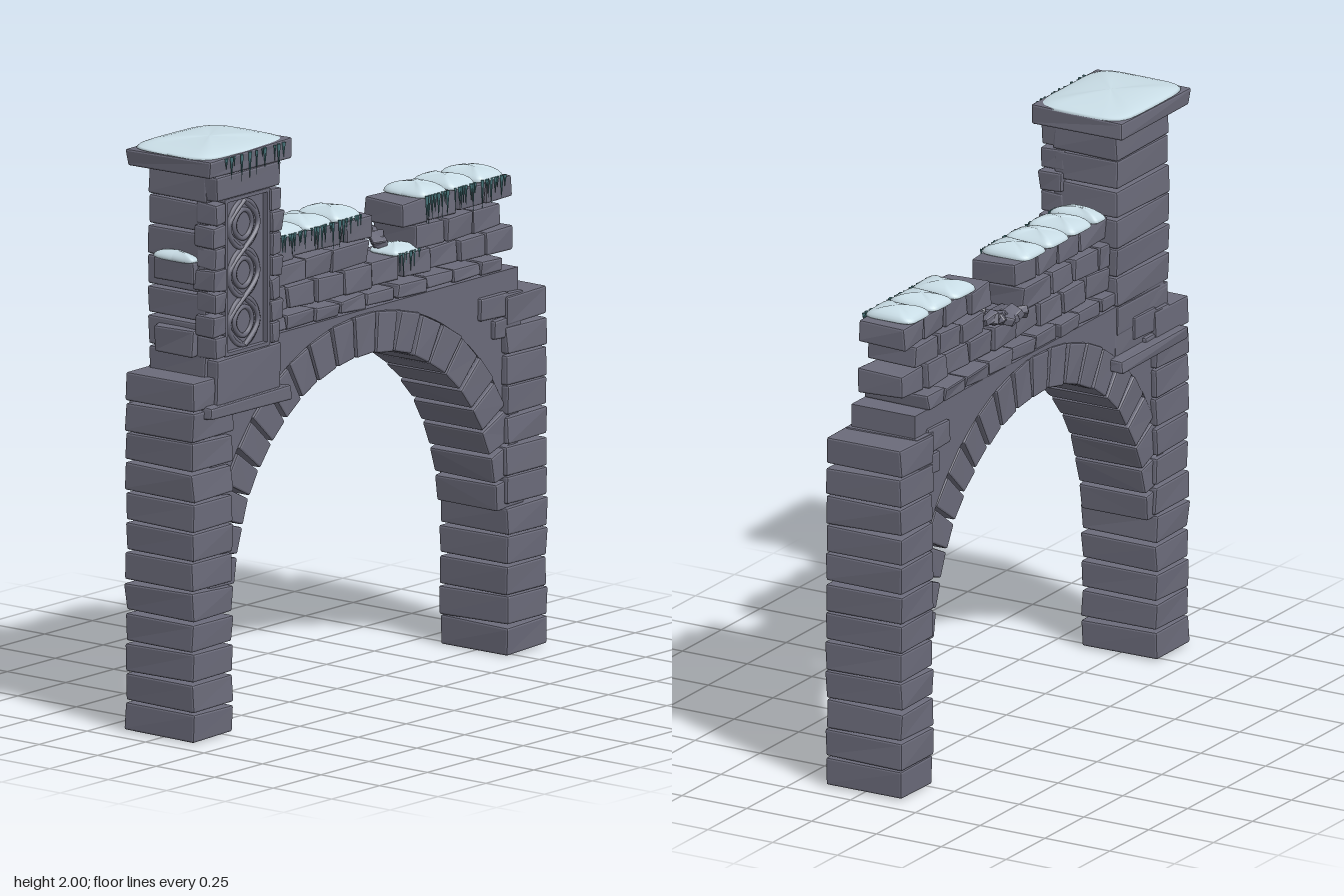
import * as THREE from 'three';
import { RoundedBoxGeometry } from 'three/addons/geometries/RoundedBoxGeometry.js';

export function createModel() {
  const stone = new THREE.MeshStandardMaterial({ color: 0x6b6b7a });
  const snow = new THREE.MeshStandardMaterial({ color: 0xc9dde6 });
  const ice = new THREE.MeshStandardMaterial({ color: 0x4a7a80 });
  const model = new THREE.Group();
  model.name = 'ruinedArch';

  let seed = 7;
  const rand = () => (seed = (seed * 16807) % 2147483647) / 2147483647;
  const spread = (a) => (rand() * 2 - 1) * a;

  const part = (name) => {
    const g = new THREE.Group();
    g.name = name;
    model.add(g);
    return g;
  };
  const add = (group, name, geo, mat) => {
    const m = new THREE.Mesh(geo, mat);
    m.name = name;
    group.add(m);
    return m;
  };

  // Hewn block: chamfered box whose eight corners are nudged
  function hewn(w, h, d, j = 0.004, taper = 0) {
    const g = new RoundedBoxGeometry(w, h, d, 1, Math.min(0.007, Math.min(w, h, d) * 0.2));
    const nudge = Array.from({ length: 8 }, () => [spread(j), spread(j), spread(j)]);
    const p = g.attributes.position;
    for (let i = 0; i < p.count; i++) {
      const x = p.getX(i), y = p.getY(i), z = p.getZ(i);
      const n = nudge[(x > 0 ? 1 : 0) + (y > 0 ? 2 : 0) + (z > 0 ? 4 : 0)];
      p.setXYZ(i, x * (1 + taper * y) + n[0], y + n[1], z + n[2]);
    }
    g.computeVertexNormals();
    return g;
  }
  // Block given by its limits on each axis
  function block(group, name, x0, x1, y0, y1, z0, z1, j) {
    const m = add(group, name, hewn(x1 - x0, y1 - y0, z1 - z0, j), stone);
    m.position.set((x0 + x1) / 2, (y0 + y1) / 2, (z0 + z1) / 2);
    return m;
  }

  // Pillars of stacked blocks
  for (const s of [-1, 1]) {
    const pillar = part(s < 0 ? 'rightPillar' : 'leftPillar');
    for (let i = 0; i < 12; i++) {
      const y = i * 0.102;
      block(pillar, 'pillarBlock', s * 0.82 - 0.104, s * 0.82 + 0.104, y + 0.003, y + 0.098, -0.15, 0.142, 0.004);
    }
    // shoulder stones keyed into the wall on both faces
    const shoulder = part('shoulderStones');
    const stones = [[0.59, 0.73, 1.155, 1.235], [0.66, 0.8, 1.08, 1.15], [0.7, 0.81, 1.17, 1.23]];
    for (const [a, b, y0, y1] of stones)
      block(shoulder, 'shoulderStone', s > 0 ? a : -b, s > 0 ? b : -a, y0, y1, -0.142, 0.134);
  }

  // Arch ring of tapered stones
  const CY = 0.47, RI = 0.68, RO = 0.82, N = 21, RM = (RI + RO) / 2;
  const ring = part('archRing');
  for (let i = 0; i < N; i++) {
    const step = (Math.PI - 0.06) / N, a = 0.03 + (i + 0.5) * step;
    const m = add(ring, 'archStone', hewn(RM * step - 0.012, RO - RI, 0.26, 0.003, 1 / RM), stone);
    m.position.set(RM * Math.cos(a), CY + RM * Math.sin(a), -0.005);
    m.rotation.z = a - Math.PI / 2;
  }

  // Flat wall above the arch
  const wall = new THREE.Shape();
  const edge = Math.acos(0.8 / RO);
  wall.moveTo(0.8, CY + RO * Math.sin(edge));
  wall.lineTo(0.8, 1.305);
  wall.lineTo(-0.8, 1.305);
  wall.lineTo(-0.8, CY + RO * Math.sin(edge));
  wall.absarc(0, CY, RO, Math.PI - edge, edge, true);
  const wallGeo = new THREE.ExtrudeGeometry(wall, { depth: 0.245, bevelEnabled: false, curveSegments: 40 });
  add(model, 'spandrelWall', wallGeo.translate(0, 0, -0.128), stone);

  // Broken brick courses: y limits, z limits, joints
  const courses = [
    [1.307, 1.354, -0.13, 0.11, [-0.5, -0.4, -0.25, -0.12, 0.02, 0.17, 0.33, 0.48, 0.62, 0.73]],
    [1.36, 1.44, -0.095, 0.078, [-0.5, -0.35, -0.2, -0.06, 0.09, 0.24, 0.39, 0.54, 0.67, 0.82]],
    [1.448, 1.525, -0.1, 0.085, [-0.5, -0.42, -0.27, -0.13, 0.06]],
    [1.448, 1.525, -0.1, 0.085, [0.31, 0.46, 0.6, 0.75]],
    [1.532, 1.61, -0.09, 0.08, [-0.5, -0.33, -0.19, -0.06, 0.09]],
    [1.532, 1.61, -0.09, 0.08, [0.25, 0.39, 0.54, 0.68, 0.82]],
  ];
  const parapet = part('parapet');
  for (const [y0, y1, z0, z1, joints] of courses)
    for (let i = 0; i + 1 < joints.length; i++)
      block(parapet, 'brick', joints[i] + 0.004, joints[i + 1] - 0.004, y0, y1, z0 + spread(0.008), z1 + spread(0.008), 0.005);

  // Rubble in the breach
  const rubble = part('rubble');
  for (let i = 0; i < 12; i++) {
    const m = add(rubble, 'rubbleStone', hewn(0.04 + rand() * 0.035, 0.03, 0.035 + rand() * 0.03, 0.006), stone);
    const t = i / 11;
    m.position.set(0.07 + t * 0.22, 1.453 + t * t * 0.04 + spread(0.008), -0.06 + spread(0.05));
    m.rotation.set(spread(0.4), spread(1.2), spread(0.5));
  }

  // Tower courses
  const tower = part('tower');
  for (let i = 0; i < 7; i++) {
    const y = 1.2 + i * 0.102;
    block(tower, 'towerBlock', -0.825, -0.492, y + 0.002, y + 0.099, -0.132, 0.115, 0.004);
  }
  block(tower, 'towerBase', -0.815, -0.48, 1.12, 1.285, -0.13, 0.155);
  block(tower, 'frontLedge', -0.87, -0.445, 1.09, 1.135, 0.1, 0.172);
  block(tower, 'backLedge', -0.87, -0.445, 1.09, 1.135, -0.178, -0.1);
  block(tower, 'panelHeader', -0.825, -0.49, 1.82, 1.91, 0.08, 0.162);
  block(tower, 'capSlab', -0.878, -0.438, 1.908, 1.972, -0.18, 0.172, 0.006);
  // quoins on either side of the panel, alternately wider
  for (let i = 0; i < 7; i++) {
    const y = 1.29 + i * 0.0755, wide = i % 2 ? 0.012 : 0;
    block(tower, 'quoin', -0.828 - wide, -0.775, y, y + 0.072, 0.075, 0.162);
    block(tower, 'quoin', -0.535, -0.488 + wide, y, y + 0.072, 0.075, 0.162);
  }
  // stubs of the lost wall on the outer side
  block(tower, 'wallStub', -0.85, -0.8, 1.29, 1.38, -0.09, 0.08);
  block(tower, 'wallStub', -0.852, -0.8, 1.535, 1.61, -0.09, 0.08);

  // Carved panel: frame and interlaced strands
  const panel = part('carvedPanel');
  block(panel, 'panelBack', -0.775, -0.535, 1.285, 1.82, 0.1, 0.132, 0);
  for (const x of [-0.768, -0.548]) block(panel, 'panelFrame', x, x + 0.014, 1.29, 1.818, 0.12, 0.152, 0);
  for (const y of [1.286, 1.808]) block(panel, 'panelFrame', -0.77, -0.535, y, y + 0.013, 0.12, 0.152, 0);
  const strand = (point, closed) => {
    const pts = Array.from({ length: 37 }, (_, i) => point(i / 36));
    if (closed) pts.pop();
    add(panel, 'carvedStrand', new THREE.TubeGeometry(new THREE.CatmullRomCurve3(pts, closed), 60, 0.009, 6, closed), stone);
  };
  for (const s of [-1, 1])
    strand((t) => new THREE.Vector3(-0.655 + s * 0.076 * Math.sin(t * Math.PI * 3), 1.305 + t * 0.495, 0.136 + s * 0.004 * Math.cos(t * Math.PI * 3)), false);
  for (let k = 0; k < 3; k++) {
    const cy = 1.3875 + k * 0.165;
    for (const r of [0.046, 0.076])
      strand((t) => {
        const a = t * Math.PI * 2;
        return new THREE.Vector3(-0.655 + r * Math.cos(a), cy + r * 1.05 * Math.sin(a) * (0.75 + 0.25 * Math.abs(Math.sin(a))), 0.134);
      }, true);
  }

  // Snow pillow: squared-off dome with a wavering rim
  function drift(name, x0, x1, y, h, z0, z1) {
    const g = new THREE.SphereGeometry(1, 32, 12);
    const p = g.attributes.position;
    const ph = rand() * 6;
    const sq = (v, e) => Math.sign(v) * Math.pow(Math.abs(v), e);
    for (let i = 0; i < p.count; i++) {
      const x = p.getX(i), yy = p.getY(i), z = p.getZ(i);
      const r = Math.hypot(x, z), a = Math.atan2(z, x);
      const rr = Math.min(r, 1);
      const dip = 0.25 * rr * Math.sin(a * 3 + ph) * (1 - rr * 0.5);
      p.setXYZ(i,
        rr * sq(Math.cos(a), 0.4) * (x1 - x0) / 2,
        yy > 0 ? h * yy * (0.85 + dip) : yy * 0.012,
        rr * sq(Math.sin(a), 0.4) * (z1 - z0) / 2);
    }
    g.computeVertexNormals();
    add(snows, name, g, snow).position.set((x0 + x1) / 2, y, (z0 + z1) / 2);
  }
  const snows = part('snow');
  const icicles = part('icicles');
  // Icy rim with hanging icicles along a front edge
  function hang(x0, x1, y, z, count, maxLen) {
    for (let i = 0; i < count; i++) {
      const len = maxLen * (0.3 + 0.7 * rand());
      const g = new THREE.ConeGeometry(0.004 + rand() * 0.003, len, 5).rotateX(Math.PI);
      add(icicles, 'icicle', g, ice).position.set(x0 + (i + 0.5 + spread(0.35)) * (x1 - x0) / count, y - len / 2, z + spread(0.004));
    }
  }
  drift('towerSnow', -0.88, -0.436, 1.97, 0.031, -0.184, 0.17);
  hang(-0.82, -0.47, 1.97, 0.176, 11, 0.1);
  const caps = [[-0.485, -0.405], [-0.402, -0.26], [-0.256, -0.112], [-0.108, 0.038], [0.342, 0.488], [0.492, 0.632], [0.638, 0.782]];
  for (const [a, b] of caps) {
    drift('parapetSnow', a, b, 1.614, 0.04, -0.102, 0.087);
    hang(a + 0.01, b - 0.01, 1.62, 0.087, Math.round((b - a) * 55), 0.1);
  }
  drift('breachSnow', 0.2, 0.335, 1.445, 0.03, -0.04, 0.088);
  hang(0.21, 0.33, 1.45, 0.088, 7, 0.09);
  drift('stubSnow', -0.862, -0.8, 1.614, 0.03, -0.09, 0.085);

  return model;
}
